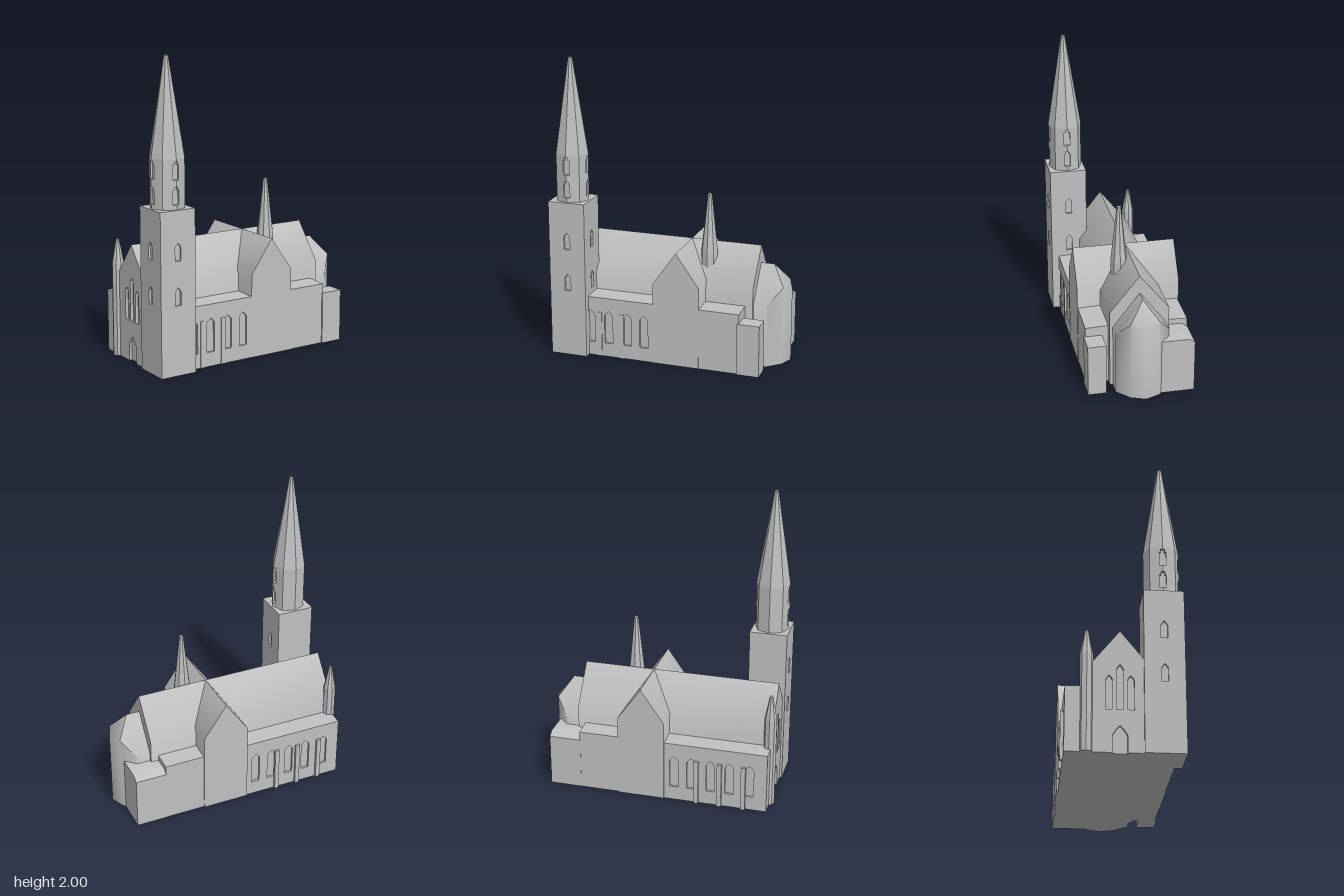
import * as THREE from 'three';
import { toCreasedNormals } from 'three/addons/utils/BufferGeometryUtils.js';

const SMOOTH = 0.85, FLAT = 0.1;
const AXIS = -0.025; // z of the nave ridge

export function createModel() {
  const group = new THREE.Group();
  const stone = new THREE.MeshStandardMaterial({ color: 0xc0c0c0 });

  const add = (name, geo, crease = SMOOTH, parent = group) => {
    const mesh = new THREE.Mesh(toCreasedNormals(geo, crease), stone);
    mesh.name = name;
    parent.add(mesh);
    return mesh;
  };
  const poly = (pts, holes = []) => {
    const s = new THREE.Shape(pts.map(p => new THREE.Vector2(...p)));
    holes.forEach(h => s.holes.push(new THREE.Path(h.map(p => new THREE.Vector2(...p)))));
    return s;
  };
  const rect = (x0, x1, y0, y1) => [[x0, y0], [x1, y0], [x1, y1], [x0, y1]];
  // Pointed window outline
  const lancet = (c, w, y0, y1, head = 0.03) => [
    [c - w / 2, y0], [c - w / 2, y1 - head], [c - w / 4, y1 - head * 0.4], [c, y1],
    [c + w / 4, y1 - head * 0.4], [c + w / 2, y1 - head], [c + w / 2, y0]];
  const extrude = (shape, depth) => new THREE.ExtrudeGeometry(shape, { depth, bevelEnabled: false });
  const alongZ = (shape, z0, z1) => extrude(shape, z1 - z0).translate(0, 0, z0);
  const alongX = (shape, x0, x1) => extrude(shape, x1 - x0).rotateY(-Math.PI / 2).translate(x1, 0, 0);
  const alongY = (shape, y0, y1) => extrude(shape, y1 - y0).rotateX(-Math.PI / 2).translate(0, y0, 0);
  const box = (x0, x1, y0, y1, z0, z1) =>
    new THREE.BoxGeometry(x1 - x0, y1 - y0, z1 - z0).translate((x0 + x1) / 2, (y0 + y1) / 2, (z0 + z1) / 2);
  const octagon = (r0, r1, x, y0, y1, z) =>
    new THREE.CylinderGeometry(r1, r0, y1 - y0, 8).translate(x, (y0 + y1) / 2, z);
  const gable = (c, half, eave, ridge) => [[c - half, 0], [c + half, 0], [c + half, eave], [c, ridge], [c - half, eave]];

  // Nave with its steep roof
  add('nave', alongX(poly(gable(AXIS, 0.195, 0.535, 0.78)), -0.735, 0.57));

  // West front: doorway cut into the outline, three lancets as holes
  const d = AXIS;
  const front = [[d - 0.195, 0], ...lancet(d, 0.09, 0, 0.17, 0.06),
    [d + 0.195, 0], [d + 0.195, 0.535], [d, 0.78], [d - 0.195, 0.535]];
  const lights = [lancet(d - 0.065, 0.042, 0.27, 0.49), lancet(d, 0.042, 0.27, 0.56), lancet(d + 0.065, 0.042, 0.27, 0.49)];
  add('westFront', alongX(poly(front, lights), -0.755, -0.735));

  // Aisles: one low core, outer walls with recessed windows
  const aisle = (z0, z1, y0, y1) => alongX(poly([[z0, 0], [z1, 0], [z1, y1], [z0, y0]]), -0.755, 0.52);
  add('southAisle', aisle(0.1, 0.305, 0.42, 0.412));
  add('northAisle', aisle(-0.338, -0.15, 0.412, 0.42));
  const bays = [-0.64, -0.505, -0.378, -0.247, -0.13];
  const bayWindows = list => list.map(x => lancet(x, 0.057, 0.095, 0.32));
  add('southAisleWall', alongZ(poly(rect(-0.755, 0.52, 0, 0.412), bayWindows(bays.slice(1))), 0.305, 0.32));
  add('northAisleWall', alongZ(poly(rect(-0.755, 0.52, 0, 0.412), bayWindows(bays)), -0.353, -0.338));

  // Buttresses between the windows
  for (const x of [-0.6, -0.44, -0.285]) {
    add('northButtress', box(x - 0.015, x + 0.015, 0, 0.31, -0.37, -0.35));
    if (x > -0.5) add('southButtress', box(x - 0.015, x + 0.015, 0, 0.31, 0.31, 0.325));
  }

  // Transept
  add('transept', alongZ(poly(gable(0.093, 0.157, 0.556, 0.78)), -0.361, 0.323));

  // Side chambers beside the choir
  add('southChamber', box(0.51, 0.66, 0, 0.35, 0.21, 0.33));
  add('northChamber', alongX(poly([[-0.355, 0], [-0.135, 0], [-0.135, 0.378], [-0.315, 0.378], [-0.355, 0.352]]), 0.515, 0.73));

  // Apse: half plan [x, offset from axis, wall top], mirrored
  const plan = [[0.55, 0.175, 0.43], [0.66, 0.175, 0.43], [0.747, 0.095, 0.535], [0.785, 0, 0.5]];
  const verts = [];
  for (const s of [1, -1]) {
    const P = (x, dz, y) => [x, y, AXIS + s * dz];
    const fan = (...p) => {
      for (let i = 1; i < p.length - 1; i++) {
        const t = s > 0 ? [p[0], p[i], p[i + 1]] : [p[0], p[i + 1], p[i]];
        t.forEach(v => verts.push(...v));
      }
    };
    const top = plan.map(([x, dz, y]) => P(x, dz, y));
    const foot = plan.map(([x, dz]) => P(x, dz, 0));
    for (let i = 0; i < 3; i++) fan(foot[i], foot[i + 1], top[i + 1], top[i]);
    const r0 = P(0.55, 0, 0.66), r1 = P(0.66, 0, 0.66);
    fan(r1, r0, top[0], top[1], top[2]);
    fan(top[2], top[3], r1);
    fan(P(0.55, 0, 0), ...foot.slice().reverse());
  }
  const apse = new THREE.BufferGeometry();
  apse.setAttribute('position', new THREE.Float32BufferAttribute(verts, 3));
  add('apse', apse);

  // Bell tower, built around its own axis
  const tower = new THREE.Group();
  tower.name = 'bellTower';
  tower.position.set(-0.645, 0, 0.243);
  group.add(tower);
  const H = 1.06, T = 0.125, I = 0.11;
  const slits = [lancet(0, 0.042, 0.455, 0.57), lancet(0, 0.042, 0.74, 0.855)];
  add('towerCore', box(-I, I, 0, H, -T, I), FLAT, tower);
  add('towerSouthWall', alongZ(poly(rect(-T, T, 0, H), slits), I, T), FLAT, tower);
  for (const x of [-T, I]) add('towerSideWall', alongX(poly(rect(-T, I, 0, H), slits), x, x + T - I), FLAT, tower);

  // Belfry: octagonal layers, notched at three corners where the openings are
  const R = 0.113;
  const belfryPlan = w => {
    const pts = [];
    for (let k = 0; k < 8; k++) {
      const a = k * Math.PI / 4, c = Math.cos(a), s = Math.sin(a);
      if (w && (k === 0 || k === 4 || k === 6)) { // east, west, south
        const out = R - w * Math.tan(Math.PI / 8), inn = R - 0.022;
        for (const [r, t] of [[out, -w], [inn, -w], [inn, w], [out, w]]) pts.push([r * c - t * s, r * s + t * c]);
      } else pts.push([R * c, R * s]);
    }
    return poly(pts);
  };
  const layers = [[1.06, 0], [1.09, 0.021], [1.18, 0.012], [1.2, 0], [1.245, 0.021], [1.34, 0.012], [1.36, 0], [1.375, 0]];
  for (let i = 0; i < layers.length - 1; i++)
    add('belfry', alongY(belfryPlan(layers[i][1]), layers[i][0], layers[i + 1][0]), FLAT, tower);
  add('spire', octagon(R, 0.014, 0, 1.375, 2, 0), FLAT, tower);

  // Ridge turret over the choir
  add('ridgeTurretBase', octagon(0.055, 0.056, 0.235, 0.55, 0.73, 0.042), FLAT);
  add('ridgeTurretSpire', octagon(0.056, 0.014, 0.235, 0.73, 1.12, 0.042), FLAT);

  // Stair turret at the north-west corner
  add('stairTurret', octagon(0.041, 0.041, -0.744, 0, 0.62, -0.225), FLAT);
  add('stairTurretSpire', octagon(0.041, 0.011, -0.744, 0.62, 0.78, -0.225), FLAT);

  return group;
}
